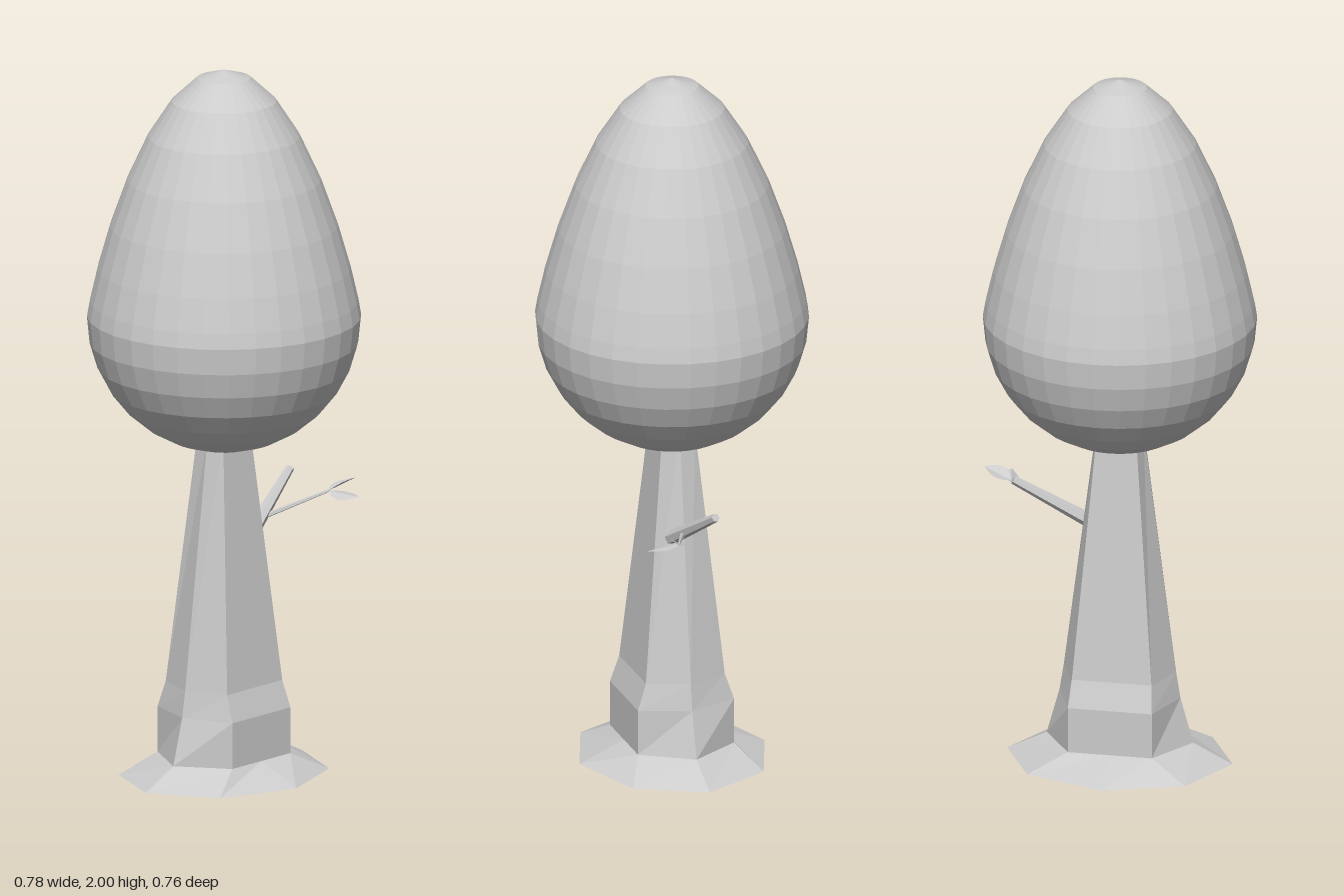
import * as THREE from 'three';

const material = new THREE.MeshStandardMaterial({ color: 0xcccccc, flatShading: true });
const leafMaterial = new THREE.MeshStandardMaterial({ color: 0xcccccc, flatShading: true, side: THREE.DoubleSide });
const AXIS = -0.015; // x of the trunk's centre line

function add(parent, name, geometry, mat = material) {
  const mesh = new THREE.Mesh(geometry, mat);
  mesh.name = name;
  parent.add(mesh);
  return mesh;
}

// Closed skin over rings of equal length, with a fan closing each end
function loft(rings) {
  const n = rings[0].length;
  const positions = rings.flat(2);
  const index = [];
  for (let r = 0; r < rings.length - 1; r++) {
    for (let i = 0; i < n; i++) {
      const a = r * n + i, b = r * n + (i + 1) % n;
      index.push(a, a + n, b, b, a + n, b + n);
    }
  }
  const top = (rings.length - 1) * n;
  for (let i = 1; i < n - 1; i++) {
    index.push(0, i, i + 1, top, top + i + 1, top + i);
  }
  const geometry = new THREE.BufferGeometry();
  geometry.setAttribute('position', new THREE.Float32BufferAttribute(positions, 3));
  geometry.setIndex(index);
  const flat = geometry.toNonIndexed();
  flat.computeVertexNormals();
  return flat;
}

// Eight-sided ring: side points at ax, corners at (cx, cz), mid points at mz
function ring(y, ax, cx, cz, mz = cz) {
  return [[ax, 0], [cx, cz], [0, mz], [-cx, cz], [-ax, 0], [-cx, -cz], [0, -mz], [cx, -cz]]
    .map(([x, z]) => [x + AXIS, y, z]);
}

// Tapered stick between two points
function stick(parent, name, from, to, r0, r1, sides) {
  const a = new THREE.Vector3(...from), b = new THREE.Vector3(...to);
  const dir = b.clone().sub(a);
  const mesh = add(parent, name, new THREE.CylinderGeometry(r1, r0, dir.length(), sides));
  mesh.position.copy(a).add(b).multiplyScalar(0.5);
  mesh.quaternion.setFromUnitVectors(new THREE.Vector3(0, 1, 0), dir.normalize());
}

// Pointed leaf, creased along its midrib
function leaf(parent, name, from, to, width, side) {
  const a = new THREE.Vector3(...from), b = new THREE.Vector3(...to);
  const along = b.clone().sub(a);
  const length = along.length();
  along.normalize();
  const geometry = new THREE.PlaneGeometry(1, 1, 2, 5);
  const p = geometry.attributes.position;
  for (let i = 0; i < p.count; i++) {
    const t = p.getY(i) + 0.5;
    const x = p.getX(i) * width * Math.sin(Math.PI * Math.pow(t, 0.85));
    p.setXYZ(i, x, t * length, Math.abs(x) * 0.3);
  }
  const across = new THREE.Vector3(...side).addScaledVector(along, -along.dot(new THREE.Vector3(...side))).normalize();
  const normal = across.clone().cross(along);
  geometry.applyMatrix4(new THREE.Matrix4().makeBasis(across, along, normal).setPosition(a));
  geometry.computeVertexNormals();
  add(parent, name, geometry, leafMaterial);
}

export function createModel() {
  const tree = new THREE.Group();
  tree.name = 'tree';

  // Trunk with a flared foot
  add(tree, 'trunk', loft([
    ring(0, 0.317, 0.222, 0.19, 0.27),
    ring(0.055, 0.206, 0.118, 0.14),
    ring(0.185, 0.17, 0.118, 0.14),
    ring(0.26, 0.158, 0.112, 0.115),
    ring(0.97, 0.066, 0.055, 0.048),
  ]));

  // Crown: a sphere with its upper half drawn up to a point
  const crown = new THREE.SphereGeometry(1, 32, 16);
  const p = crown.attributes.position;
  for (let i = 0; i < p.count; i++) {
    const y = p.getY(i);
    p.setXYZ(i, p.getX(i) * 0.378, y > 0 ? 0.7 * Math.pow(y, 1.7) : 0.38 * y, p.getZ(i) * 0.378);
  }
  crown.computeVertexNormals();
  add(tree, 'crown', crown).position.set(AXIS, 1.3, 0);

  // Side branch, twig and its two leaves
  const branch = new THREE.Group();
  branch.name = 'sideBranch';
  tree.add(branch);
  stick(branch, 'branch', [0.06, 0.668, 0.032], [0.28, 0.803, -0.025], 0.021, 0.012, 6);
  stick(branch, 'twig', [0.11, 0.698, 0.012], [0.315, 0.755, 0.094], 0.008, 0.004, 5);
  leaf(branch, 'outerLeaf', [0.31, 0.754, 0.092], [0.39, 0.78, 0.118], 0.055, [-0.3, 0.3, 1]);
  leaf(branch, 'frontLeaf', [0.31, 0.754, 0.092], [0.328, 0.75, 0.192], 0.05, [1, 0.25, 0]);

  return tree;
}
